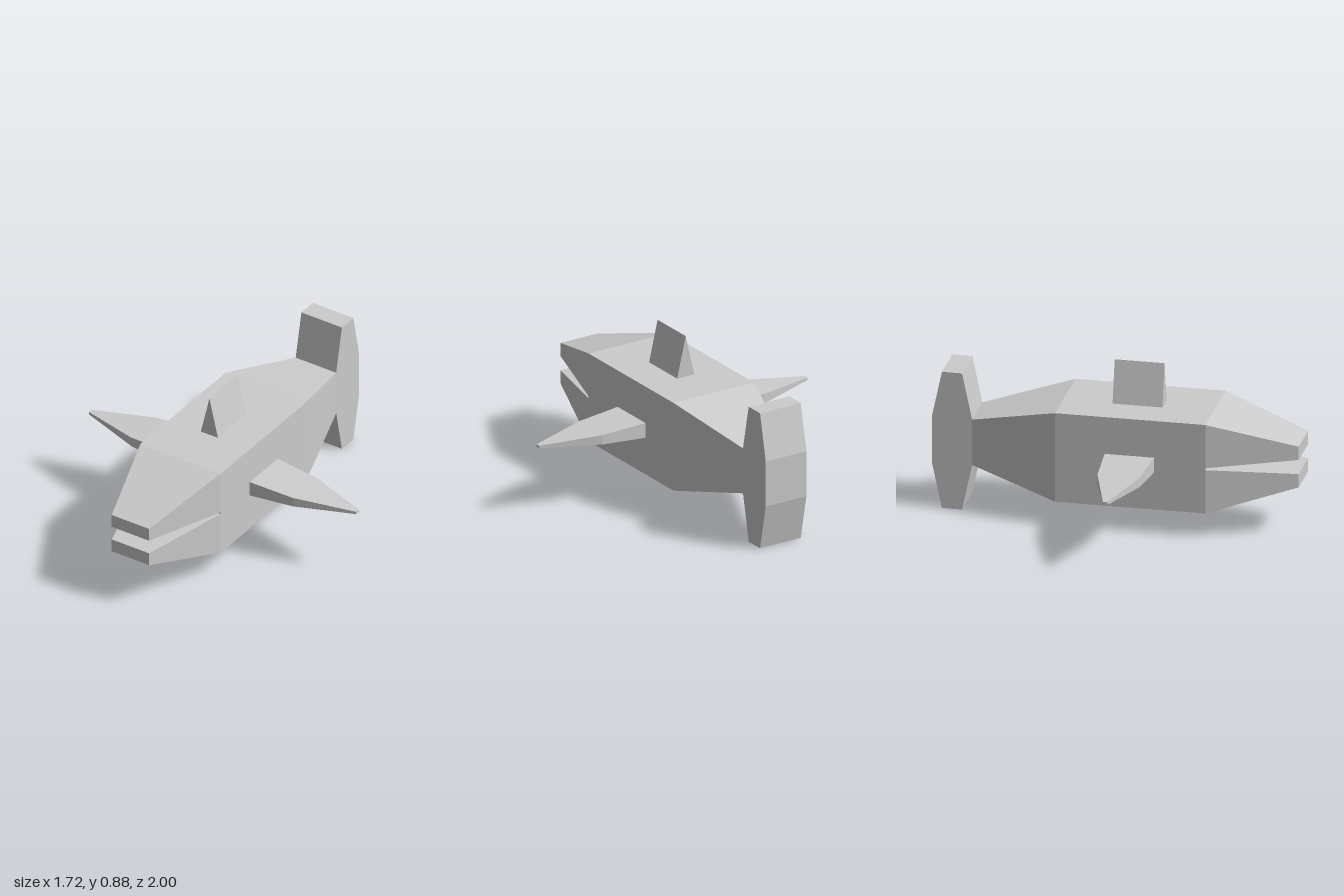
import * as THREE from 'three';

// Skin four-cornered rings into a faceted solid; corners run counter-clockwise seen from the last ring's end.
function loft(rings, capStart = true, capEnd = true) {
  const pos = [];
  const quad = (a, b, c, d) => pos.push(...a, ...b, ...c, ...a, ...c, ...d);
  for (let i = 0; i < rings.length - 1; i++) {
    for (let k = 0; k < 4; k++) {
      const n = (k + 1) % 4;
      quad(rings[i][k], rings[i][n], rings[i + 1][n], rings[i + 1][k]);
    }
  }
  if (capStart) quad(...[...rings[0]].reverse());
  if (capEnd) quad(...rings[rings.length - 1]);
  const geometry = new THREE.BufferGeometry();
  geometry.setAttribute('position', new THREE.Float32BufferAttribute(pos, 3));
  geometry.computeVertexNormals();
  return geometry;
}

// Rectangular rings across z (body) and across x (side fins)
const ringZ = (z, w, y0, y1) => [[-w, y0, z], [w, y0, z], [w, y1, z], [-w, y1, z]];
const ringX = (x, h, z0, z1) => [
  [x, 0.392 - h, z0], [x, 0.392 + h, z0], [x, 0.392 + h, z1], [x, 0.392 - h, z1]];

export function createModel() {
  const group = new THREE.Group();
  const grey = new THREE.MeshStandardMaterial({ color: 0xcccccc, flatShading: true });
  grey.name = 'plain grey';
  const add = (name, geometry) => {
    const mesh = new THREE.Mesh(geometry, grey);
    mesh.name = name;
    group.add(mesh);
    return mesh;
  };

  // Body, narrowing toward the tail
  add('body', loft([
    ringZ(-0.78, 0.13, 0.26, 0.52),
    ringZ(-0.3, 0.257, 0.138, 0.645),
    ringZ(0.52, 0.257, 0.138, 0.645),
  ], false, true));

  // Open jaws
  add('upperJaw', loft([ringZ(0.52, 0.257, 0.397, 0.645), ringZ(1, 0.12, 0.432, 0.508)], false));
  add('lowerJaw', loft([ringZ(0.52, 0.257, 0.138, 0.386), ringZ(1, 0.12, 0.275, 0.351)], false));

  // Side fins, mirrored
  for (const side of [1, -1]) {
    const rings = [
      ringX(side * 0.25, 0.043, -0.03, 0.24),
      ringX(side * 0.52, 0.027, -0.012, 0.218),
      ringX(side * 0.858, 0.0075, 0.09, 0.116),
    ];
    if (side < 0) rings.reverse();
    add(side > 0 ? 'leftFin' : 'rightFin', loft(rings, side < 0, side > 0));
  }

  // Wedge-shaped back fin
  const wedge = new THREE.Shape([
    new THREE.Vector2(-0.056, 0.64), new THREE.Vector2(0.056, 0.64), new THREE.Vector2(0, 0.878)]);
  add('backFin', new THREE.ExtrudeGeometry(wedge, { depth: 0.272, bevelEnabled: false }))
    .position.z = -0.03;

  // Upright tail: side outline (drawn as -z, y) extruded across x
  const outline = [[0.78, 0.26], [0.835, 0], [0.945, 0], [1, 0.26],
    [1, 0.52], [0.945, 0.78], [0.835, 0.78], [0.78, 0.52]];
  const tailShape = new THREE.Shape(outline.map(([x, y]) => new THREE.Vector2(x, y)));
  const tail = add('tail', new THREE.ExtrudeGeometry(tailShape, { depth: 0.26, bevelEnabled: false }));
  tail.rotation.y = Math.PI / 2;
  tail.position.x = -0.13;

  return group;
}
